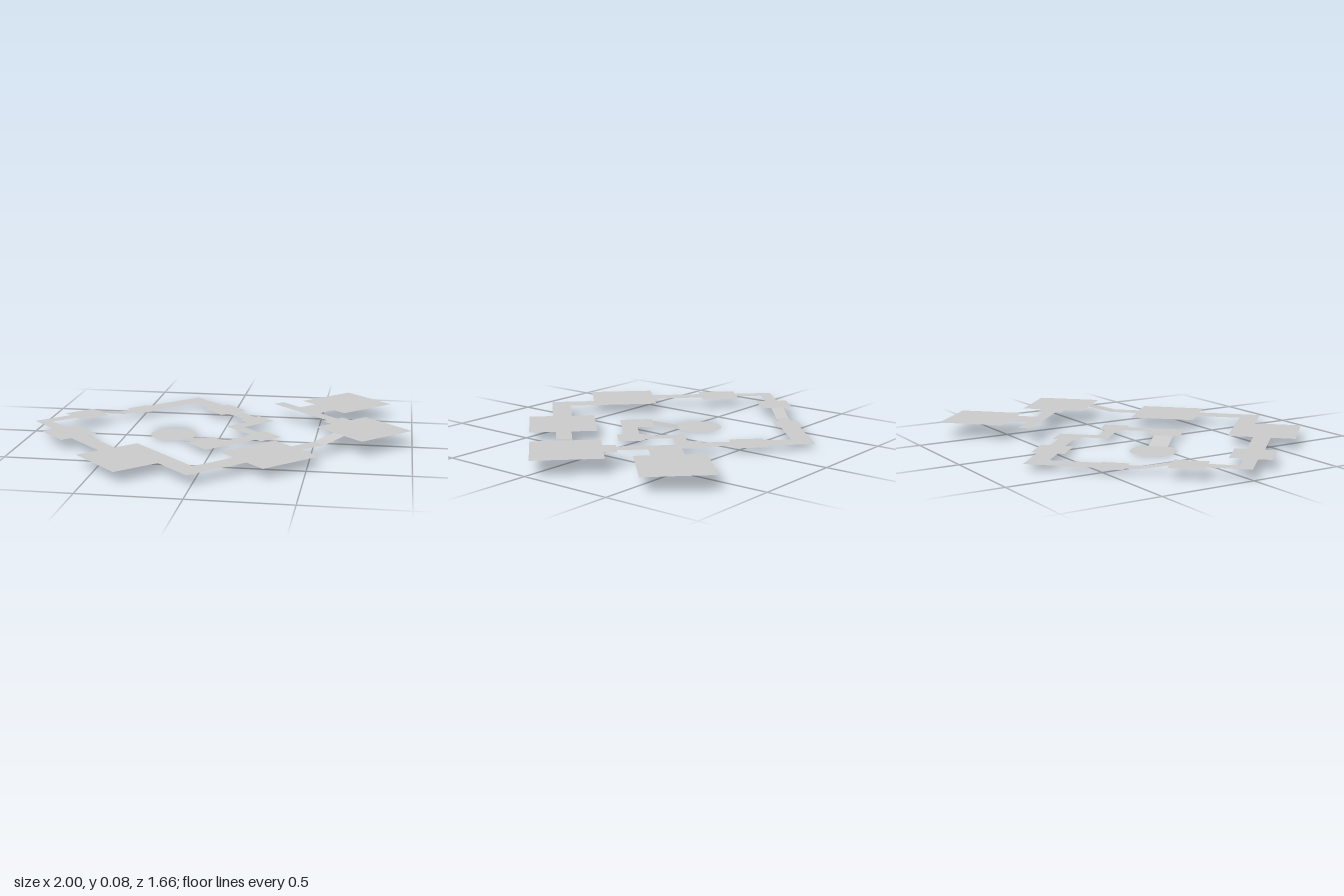
import * as THREE from 'three';

// Walkable floor levels, lowest to highest
const LEVEL = [0, 0.027, 0.053, 0.079];

export function createModel() {
  const model = new THREE.Group();
  model.name = 'floorPlan';
  // All floors are square to this plan, which is turned 45 degrees
  const plan = new THREE.Group();
  plan.name = 'turnedPlan';
  plan.rotation.y = -Math.PI / 4;
  model.add(plan);
  const material = new THREE.MeshStandardMaterial({ color: 0xcccccc, side: THREE.DoubleSide });

  function add(name, geometry) {
    const mesh = new THREE.Mesh(geometry, material);
    mesh.name = name;
    plan.add(mesh);
    return mesh;
  }

  // Thin rectangle; slope(x, z) gives its height
  function slab(name, x0, x1, z0, z1, slope) {
    const g = new THREE.PlaneGeometry(x1 - x0, z1 - z0).rotateX(-Math.PI / 2);
    g.translate((x0 + x1) / 2, 0, (z0 + z1) / 2);
    const p = g.attributes.position;
    for (let i = 0; i < p.count; i++) p.setY(i, slope(p.getX(i), p.getZ(i)));
    g.computeVertexNormals();
    return add(name, g);
  }

  const flat = (name, level, x0, x1, z0, z1) => slab(name, x0, x1, z0, z1, () => LEVEL[level]);
  const room = (name, level, x, z, half) => flat(name, level, x - half, x + half, z - half, z + half);
  // Corridors along x (centred on z) and along z (centred on x)
  const hallX = (name, level, x0, x1, z, half) => flat(name, level, x0, x1, z - half, z + half);
  const hallZ = (name, level, x, z0, z1, half) => flat(name, level, x - half, x + half, z0, z1);
  const mix = (t, a, b) => THREE.MathUtils.lerp(LEVEL[a], LEVEL[b], t);

  // Round start chamber and its ramp
  add('roundChamber', new THREE.CircleGeometry(0.121, 48).rotateX(-Math.PI / 2))
    .position.set(-0.216, LEVEL[0], 0.143);
  slab('chamberRamp', -0.106, 0.032, 0.094, 0.196, (x) => mix((x + 0.106) / 0.138, 0, 1));

  // Inner level: small rooms and corridors
  room('innerRoom', 1, 0.118, 0.145, 0.086);
  hallZ('innerCorridor', 1, 0.164, -0.088, 0.059, 0.04);
  room('bendRoom', 1, 0.173, -0.156, 0.068);
  hallX('bendCorridor', 1, -0.035, 0.105, -0.156, 0.034);
  hallZ('shortCorridor', 1, -0.069, -0.262, -0.122, 0.034);
  room('sideRoom', 1, -0.107, -0.33, 0.068);
  hallX('sideCorridor', 1, -0.316, -0.175, -0.33, 0.04);
  room('backRoom', 1, -0.402, -0.33, 0.086);
  hallX('backCorridor', 1, -0.63, -0.488, -0.33, 0.051);
  hallZ('cornerCorridor', 1, -0.681, -0.379, -0.027, 0.051);
  room('rampRoom', 1, -0.681, 0.041, 0.068);
  hallZ('rampCorridor', 1, -0.681, 0.109, 0.177, 0.034);
  slab('middleRamp', -0.715, -0.647, 0.177, 0.318, (x, z) => mix((z - 0.177) / 0.141, 1, 2));

  // Middle level: outer rooms on the right and front
  room('upperRampRoom', 2, -0.681, 0.404, 0.086);
  hallZ('outerCorridor', 2, -0.681, 0.49, 0.702, 0.034);
  hallX('outerCornerCorridor', 2, -0.647, -0.506, 0.668, 0.034);
  room('outerRoom', 2, -0.402, 0.668, 0.104);
  hallX('hallCorridor', 2, -0.298, -0.02, 0.668, 0.045);
  room('firstHall', 2, 0.154, 0.665, 0.174);
  hallX('frontCorridor', 2, 0.328, 0.464, 0.542, 0.051);
  hallZ('frontCornerCorridor', 2, 0.515, 0.249, 0.593, 0.051);
  room('secondHall', 2, 0.517, 0.075, 0.174);
  hallZ('upperRampCorridor', 2, 0.515, -0.246, -0.099, 0.04);
  slab('upperRamp', 0.475, 0.555, -0.376, -0.246, (x, z) => mix((z + 0.376) / 0.13, 3, 2));

  // Top level: last two halls, landing and dead-end corridor
  room('thirdHall', 3, 0.512, -0.55, 0.174);
  hallX('landing', 3, 0.272, 0.338, -0.55, 0.068);
  hallX('deadEndCorridor', 3, -0.182, 0.272, -0.547, 0.034);
  hallZ('lastDoorway', 3, 0.045, -0.689, -0.581, 0.08);
  room('lastHall', 3, 0.033, -0.863, 0.174);

  return model;
}
